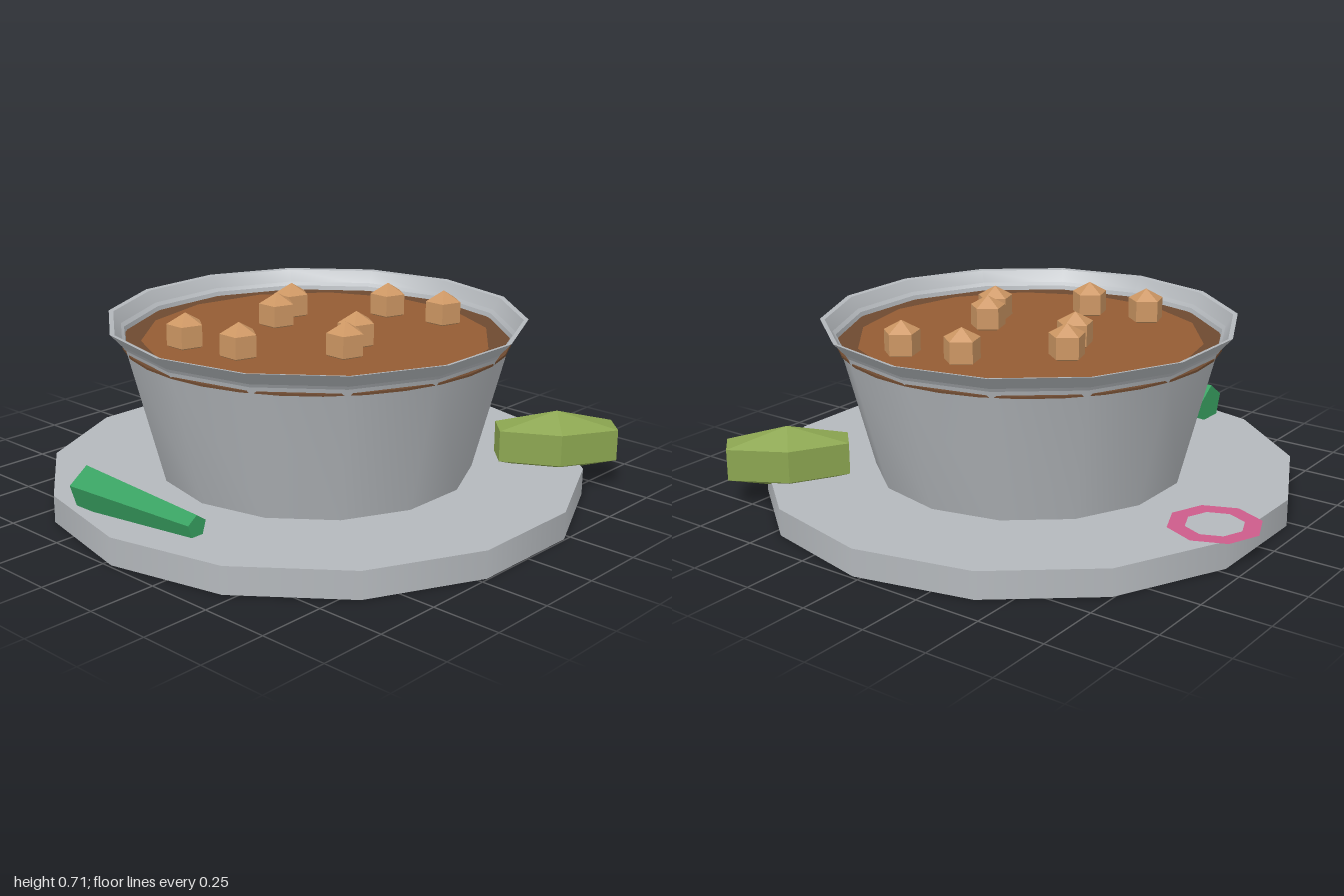
import * as THREE from 'three';
import { toCreasedNormals } from 'three/addons/utils/BufferGeometryUtils.js';

const CX = 0.03; // axis of plate and bowl
const SIDES = 14;

function material(name, color, extra = {}) {
  const m = new THREE.MeshStandardMaterial({ color, ...extra });
  m.name = name;
  return m;
}

export function createModel() {
  const group = new THREE.Group();
  const grey = material('stoneware grey', 0xb4b8bc, { side: THREE.DoubleSide });
  const broth = material('broth brown', 0x945c34);
  const darkBroth = material('dark broth brown', 0x6e4a30);
  const crust = material('crouton tan', 0xcc9663, { flatShading: true });
  const olive = material('olive green', 0x8ba550, { flatShading: true });
  const leaf = material('leaf green', 0x38a262, { flatShading: true });
  const pink = material('onion pink', 0xcc5c8a, { side: THREE.DoubleSide });

  function add(name, geometry, mat, x, y, z) {
    const mesh = new THREE.Mesh(geometry, mat);
    mesh.name = name;
    mesh.position.set(x, y, z);
    group.add(mesh);
    return mesh;
  }

  // Plate
  add('plate', new THREE.CylinderGeometry(0.99, 0.99, 0.1, SIDES), grey, CX, 0.05, 0);

  // Bowl wall with a flared lip, smooth around and sharp at the lip
  const profile = [[0.58, 0.1], [0.71, 0.605], [0.765, 0.665], [0.748, 0.662], [0.714, 0.605]]
    .map(([r, y]) => new THREE.Vector2(r, y));
  add('bowl', toCreasedNormals(new THREE.LatheGeometry(profile, SIDES), 0.47), grey, CX, 0, 0);

  // Soup: dark rim disc with a lighter surface on top
  add('soupEdge', new THREE.CylinderGeometry(0.705, 0.705, 0.008, 32), darkBroth, CX, 0.585, 0);
  add('soupSurface', new THREE.CircleGeometry(0.636, SIDES).rotateX(-Math.PI / 2), broth, CX, 0.592, 0);

  // Croutons: five-sided pieces with pointed tops
  const crouton = new THREE.SphereGeometry(0.078, 5, 3).rotateY(-Math.PI / 2);
  [[0.03, -0.4], [0.26, -0.45], [-0.235, -0.145], [-0.17, 0],
    [0.225, 0], [0.29, 0.13], [-0.2, 0.43], [0.03, 0.39]]
    .forEach(([x, z]) => add('crouton', crouton, crust, x, 0.637, z));

  // Onion ring lying on the plate
  add('onionRing', new THREE.RingGeometry(0.105, 0.168, 8).rotateX(-Math.PI / 2), pink, -0.835, 0.103, -0.125);

  // Pickle beside the bowl, its long side pointing outwards to the back
  const pickle = new THREE.SphereGeometry(1, 6, 3).scale(0.139, 0.118, 0.293).rotateY(Math.PI * 0.75);
  add('pickle', pickle, olive, 0.665, 0.172, -0.635);

  // Tapered stalk along x, a corner upwards, sheared so its ends stay upright
  const stalk = new THREE.CylinderGeometry(0.08, 0.04, 0.6, 5)
    .rotateZ(Math.PI / 2) // wide end to -x
    .rotateX(0);
  const p = stalk.attributes.position;
  // turn the section so that one corner points straight up
  stalk.rotateX(-Math.PI / 2);
  for (let i = 0; i < p.count; i++) {
    const t = p.getX(i) / 0.6;
    p.setY(i, p.getY(i) + 0.035 * t);
    p.setZ(i, p.getZ(i) + 0.033 * t);
  }
  stalk.computeVertexNormals();
  add('stalk', stalk, leaf, 0.03, 0.1725, 0.8575);

  return group;
}
